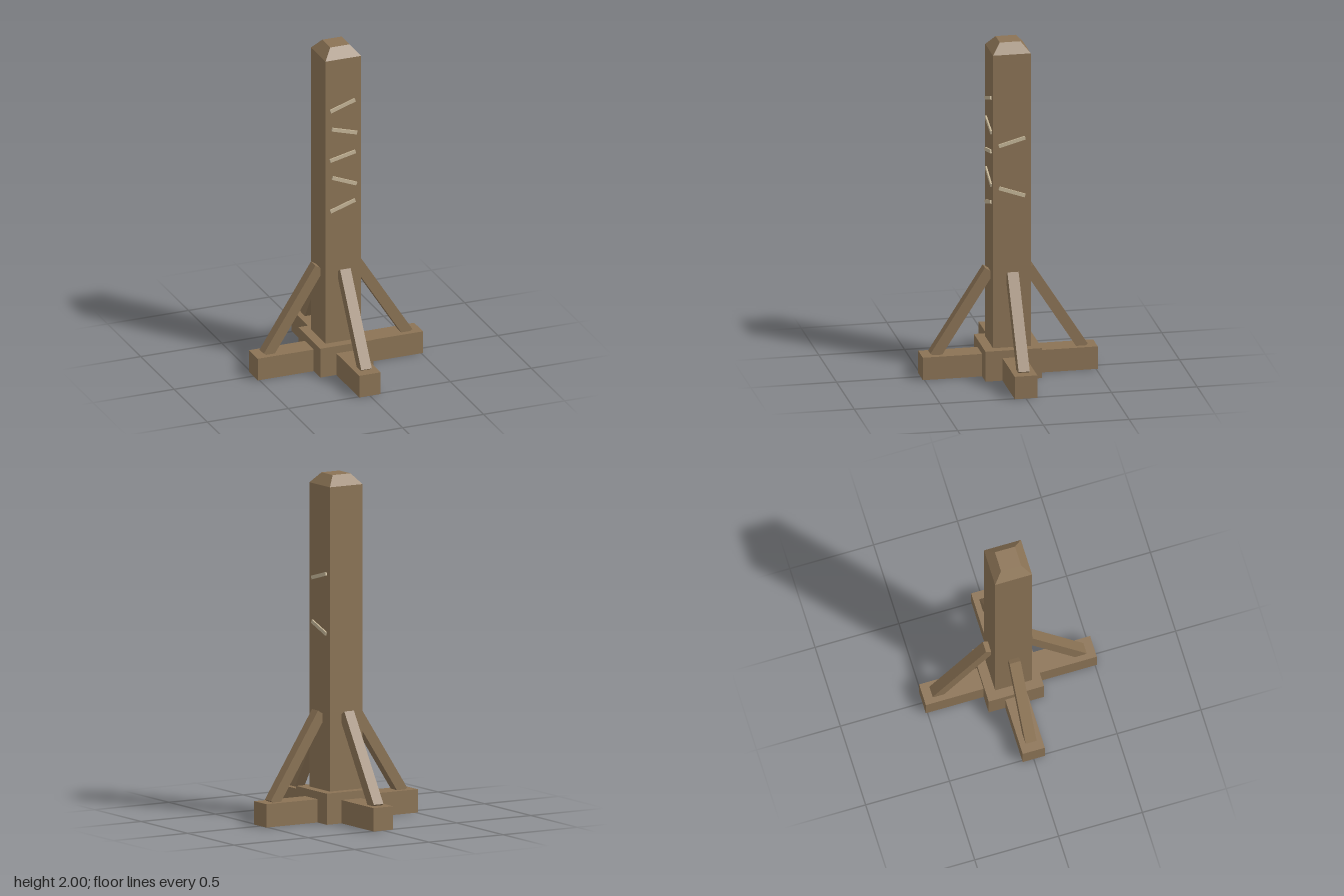
import * as THREE from 'three';

export function createModel() {
  const group = new THREE.Group();
  const wood = new THREE.MeshStandardMaterial({ color: 0x8b7355 });
  wood.name = 'weathered wood';
  wood.flatShading = true;
  const cutWood = new THREE.MeshStandardMaterial({ color: 0xc4b597 });
  cutWood.name = 'pale cut wood';

  const box = (name, parent, material, size, position) => {
    const mesh = new THREE.Mesh(new THREE.BoxGeometry(...size), material);
    mesh.name = name;
    mesh.position.set(...position);
    parent.add(mesh);
    return mesh;
  };

  // Centre block and square post
  box('centreBlock', group, wood, [0.33, 0.18, 0.33], [0, 0.09, 0]);
  box('post', group, wood, [0.22, 1.76, 0.22], [0, 1.06, 0]);

  // Chamfered post top
  const cap = new THREE.Mesh(
    new THREE.CylinderGeometry(0.06 * Math.SQRT2, 0.11 * Math.SQRT2, 0.06, 4).rotateY(Math.PI / 4), wood);
  cap.name = 'postCap';
  cap.position.y = 1.97;
  group.add(cap);

  // Four feet, each with a slanted brace leaning on the post
  for (let i = 0; i < 4; i++) {
    const leg = new THREE.Group();
    leg.name = 'leg' + (i + 1);
    leg.rotation.y = i * Math.PI / 2;
    box('foot', leg, wood, [0.36, 0.135, 0.132], [0.33, 0.0675, 0]);
    const brace = box('brace', leg, wood, [0.063, 0.59, 0.065], [0.2735, 0.3755, 0]);
    brace.rotation.z = Math.atan2(0.32, 0.5);
    group.add(leg);
  }

  // Slash marks: [offset along the face, height, tilt]
  const faces = [
    { name: 'frontSlashes', turn: 0, marks: [
      [-0.005, 1.65, 0.32], [0.005, 1.49, -0.28], [-0.005, 1.335, 0.22],
      [0.005, 1.18, -0.38], [-0.005, 1.025, 0.31]] },
    { name: 'leftSlashes', turn: Math.PI / 2, marks: [[0, 1.415, 0.27], [0, 1.115, -0.34]] },
  ];
  for (const { name, turn, marks } of faces) {
    const side = new THREE.Group();
    side.name = name;
    side.rotation.y = turn;
    for (const [x, y, tilt] of marks) {
      box('slash', side, cutWood, [0.16, 0.021, 0.012], [x, y, 0.113]).rotation.z = tilt;
    }
    group.add(side);
  }

  return group;
}
